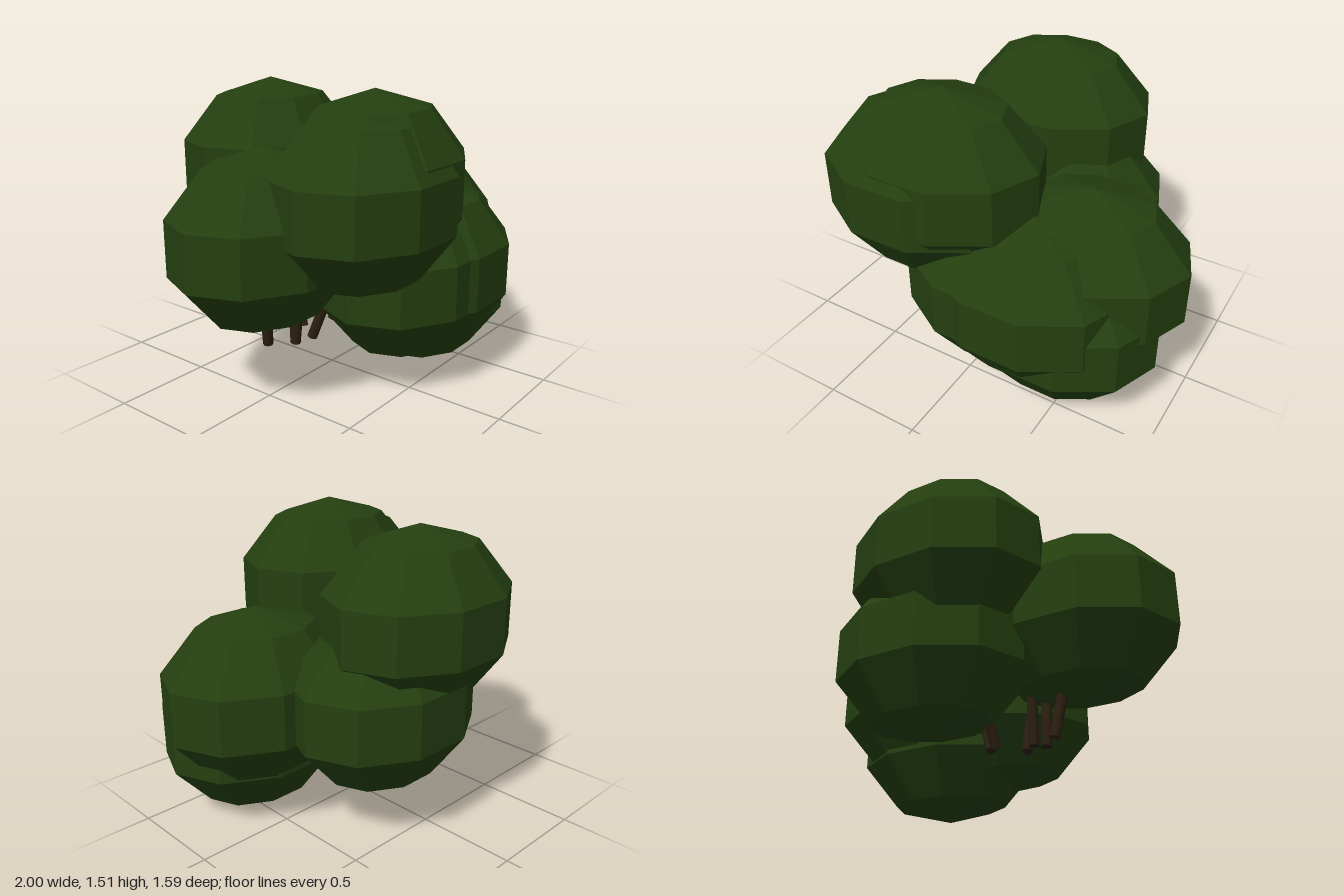
import * as THREE from 'three';

export function createModel() {
  const group = new THREE.Group();
  group.name = 'bush';
  const leafGreen = new THREE.MeshStandardMaterial({ color: 0x243f10 });
  leafGreen.name = 'leafGreen';
  const barkBrown = new THREE.MeshStandardMaterial({ color: 0x2c1f10 });
  barkBrown.name = 'barkBrown';

  // faceted leaf clump shared by the whole bush
  const clump = new THREE.SphereGeometry(1, 10, 5).toNonIndexed();
  clump.scale(0.525, 0.438, 0.424);
  clump.computeVertexNormals();

  const clumps = {
    backTopClump: [0, 1.07, -0.41],
    frontTopClump: [-0.17, 1.08, 0.38],
    frontRightClump: [-0.27, 1.025, 0.41],
    rightClump: [-0.5, 0.825, 0],
    backLowClump: [0.14, 0.665, -0.32],
    leftClump: [0.5, 0.66, 0.18],
    frontLowClump: [0.43, 0.443, 0.31],
    frontLeftClump: [0.3, 0.575, 0.395],
    frontMiddleClump: [0.14, 0.575, 0.37],
  };
  for (const [name, p] of Object.entries(clumps)) {
    const mesh = new THREE.Mesh(clump, leafGreen);
    mesh.name = name;
    mesh.position.set(...p);
    group.add(mesh);
  }

  // stems fanning up into the leaves: [foot, tip]
  const stems = [
    [[-0.395, 0.22, -0.1], [-0.46, 0.6, -0.06]],
    [[-0.1, 0.21, -0.12], [-0.04, 0.6, -0.26]],
    [[-0.3, 0.22, 0], [-0.3, 0.6, 0.04]],
    [[-0.255, 0.22, -0.04], [-0.25, 0.6, -0.04]],
    [[-0.19, 0.22, 0.02], [-0.16, 0.6, 0.16]],
    [[0, 0.25, 0], [0.14, 0.6, 0.1]],
  ];
  const up = new THREE.Vector3(0, 1, 0);
  stems.forEach(([a, b], i) => {
    const foot = new THREE.Vector3(...a);
    const tip = new THREE.Vector3(...b);
    const dir = tip.clone().sub(foot);
    const geo = new THREE.CylinderGeometry(0.027, 0.027, dir.length(), 8);
    const stem = new THREE.Mesh(geo, barkBrown);
    stem.name = `stem${i + 1}`;
    stem.position.copy(foot).add(tip).multiplyScalar(0.5);
    stem.quaternion.setFromUnitVectors(up, dir.normalize());
    group.add(stem);
  });
  return group;
}
